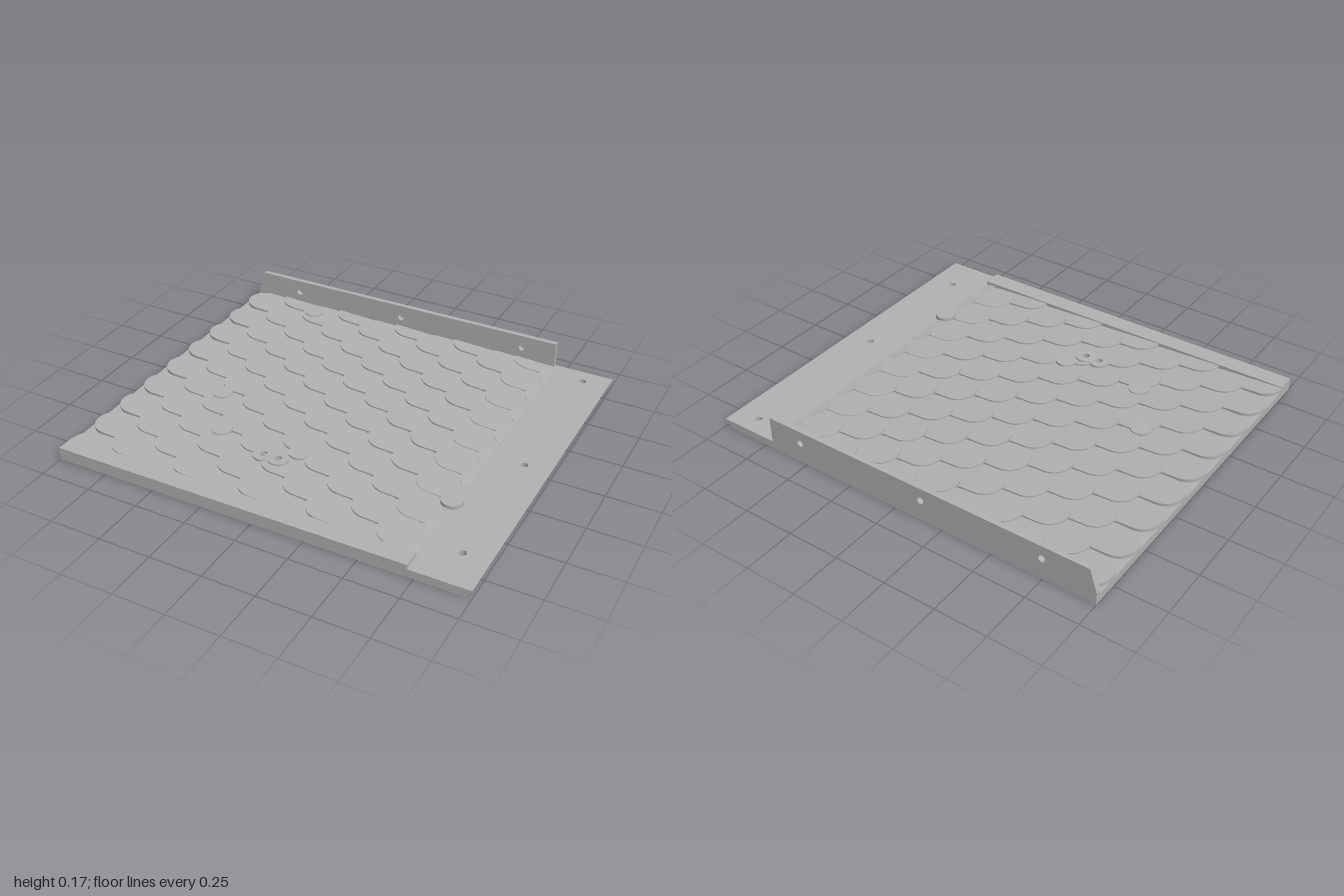
import * as THREE from 'three';

const HOLE_R = 0.017, DISC_R = 0.05;
const screwHoles = [[0.875, -0.79], [0.875, 0], [0.875, 0.68]];
const pegHoles = [[-0.17, 0.485], [-0.095, 0.485]];
const blindHoles = [[-0.61, -0.77], [-0.61, 0.135], [-0.445, 0.4], [-0.035, 0.4], [0.705, 0.4]];

// Circular cut in a shape
function addHole(shape, x, y) {
  shape.holes.push(new THREE.Path().absarc(x, y, HOLE_R, 0, Math.PI * 2, true));
}

// Lays a plan shape (x, -z) flat and extrudes it from y0 to y1
function slab(shape, y0, y1) {
  return new THREE.ExtrudeGeometry(shape, { depth: y1 - y0, bevelEnabled: false, curveSegments: 20 })
    .rotateX(-Math.PI / 2).translate(0, y0, 0);
}

function polygon(points) {
  return new THREE.Shape(points.map(([x, y]) => new THREE.Vector2(x, y)));
}

// Moves vertices by a rule and rebuilds flat normals
function reshape(geometry, rule) {
  const p = geometry.attributes.position;
  for (let i = 0; i < p.count; i++) {
    const [x, y] = rule(p.getX(i), p.getY(i));
    p.setXY(i, x, y);
  }
  geometry.computeVertexNormals();
  return geometry;
}

// One roof scale: raised round tip toward -x, tail sinking toward +x
function scaleGeometry(x0, z0, tip) {
  const r = 0.088, length = 0.31, outline = [];
  const end = Math.min(x0 + length, 0.72);
  const cx = Math.min(x0 + r, end);
  const steps = Math.max(1, Math.round((end - cx) / 0.01));
  const put = (x, z) => {
    // bite the outline where it crosses a peg hole
    for (const [hx, hz] of pegHoles) {
      const d = Math.hypot(x - hx, z - hz);
      if (d < HOLE_R) {
        x = hx + (x - hx) / d * HOLE_R;
        z = hz + (z - hz) / d * HOLE_R;
      }
    }
    outline.push(new THREE.Vector2(x, -THREE.MathUtils.clamp(z, -0.86, 0.8)));
  };
  for (let i = 0; i < steps; i++) put(end + (cx - end) * i / steps, z0 - r);
  for (let i = 0; i <= 32; i++) {
    const a = Math.PI * (0.5 + i / 32);
    const x = x0 + r + Math.cos(a) * r;
    if (x <= end) put(x, z0 - Math.sin(a) * r);
  }
  for (let i = 1; i <= steps; i++) put(cx + (end - cx) * i / steps, z0 + r);
  const shape = new THREE.Shape(outline);
  for (const [hx, hz] of pegHoles) {
    if (hx > x0 + HOLE_R && hx < end - HOLE_R && Math.abs(hz - z0) < r - HOLE_R) addHole(shape, hx, -hz);
  }
  const slope = (tip - 0.0415) / Math.min(0.34, 0.72 - x0);
  return reshape(slab(shape, 0, 1), (x, y) => [x, y > 0.5 ? tip - (x - x0) * slope : 0.035]);
}

export function createModel() {
  const model = new THREE.Group();
  model.name = 'scaledPanel';
  const grey = new THREE.MeshStandardMaterial({ color: 0xb0b0b0 });
  grey.name = 'plain grey';
  const add = (name, geometry, parent = model) => {
    const mesh = new THREE.Mesh(geometry, grey);
    mesh.name = name;
    parent.add(mesh);
  };

  // Base plate with drilled holes and an undercut right edge
  const plate = polygon([[-1, -0.875], [1, -0.875], [1, 0.875], [-1, 0.875]]);
  for (const [x, z] of [...screwHoles, ...pegHoles, ...blindHoles]) addHole(plate, x, -z);
  add('basePlate', reshape(slab(plate, 0, 0.04), (x, y) => [x > 0.99 && y < 0.01 ? 0.975 : x, y]));

  // Low rim along the front
  add('frontRim', new THREE.BoxGeometry(1.72, 0.025, 0.09).translate(-0.14, 0.0485, 0.83));

  // Upright flange along the back, sloped at one end
  const wall = polygon([[-1, 0.035], [0.705, 0.035], [0.705, 0.17], [-0.965, 0.17], [-1, 0.06]]);
  for (const x of [-0.745, -0.14, 0.53]) addHole(wall, x, 0.105);
  add('backFlange', new THREE.ExtrudeGeometry(wall, { depth: 0.025, bevelEnabled: false, curveSegments: 20 })
    .translate(0, 0, -0.875));

  // Overlapping scales in staggered columns, lower near the right strip
  const scales = new THREE.Group();
  scales.name = 'scales';
  model.add(scales);
  for (let col = 0; col < 11; col++) {
    const x = -1 + col / 6;
    const first = col % 2 ? -0.855 : -0.76;
    const tip = col === 10 ? 0.048 : col === 9 ? 0.053 : 0.057;
    for (let row = 0; row < 9; row++) add('scale', scaleGeometry(x, first + row * 0.1925, tip), scales);
  }

  // Round bosses, two of them drilled through
  for (const [x, z] of blindHoles) {
    add('boss', new THREE.CylinderGeometry(DISC_R, DISC_R, 0.025, 40).translate(x, 0.0475, z));
  }
  const mid = (pegHoles[0][0] + pegHoles[1][0]) / 2, half = pegHoles[1][0] - mid;
  const cut = Math.acos(half / DISC_R);
  const pair = new THREE.Shape();
  pair.absarc(pegHoles[0][0], -pegHoles[0][1], DISC_R, cut, Math.PI * 2 - cut, false);
  pair.absarc(pegHoles[1][0], -pegHoles[1][1], DISC_R, -Math.PI + cut, Math.PI - cut, false);
  for (const [x, z] of pegHoles) addHole(pair, x, -z);
  add('drilledBosses', slab(pair, 0.035, 0.06));

  return model;
}
